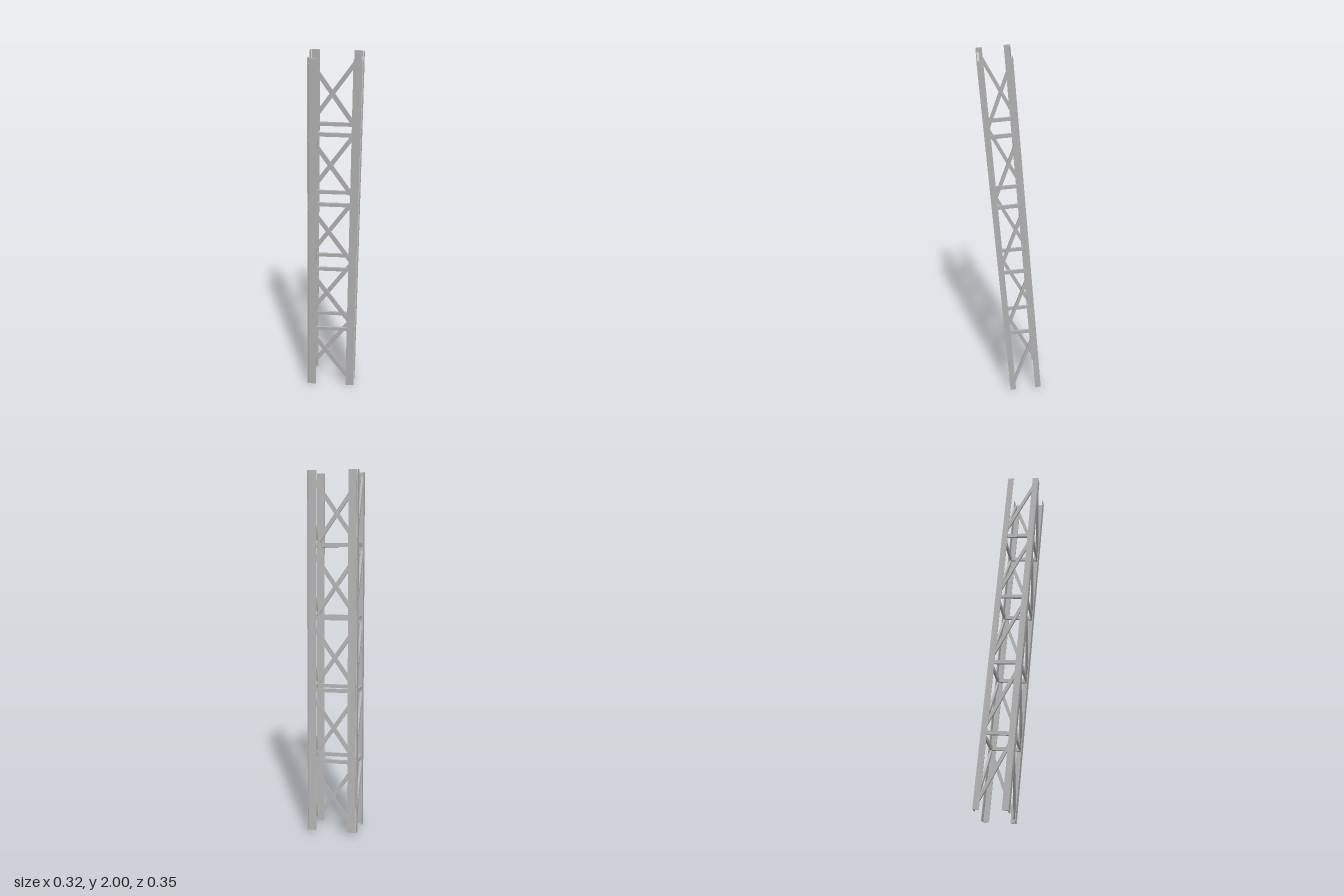
import * as THREE from 'three';

export function createModel() {
  const steel = new THREE.MeshStandardMaterial({ color: 0xb0b0b0 });
  steel.name = 'grey steel';

  const L = 1.984, bays = 5, bay = L / bays; // mast length and panels
  const X = 0.14, Z = 0.09;                  // half width and half depth
  const mast = new THREE.Group();
  mast.name = 'latticeMast';

  const box = (name, w, h, d, x, y, z) => {
    const m = new THREE.Mesh(new THREE.BoxGeometry(w, h, d), steel);
    m.name = name;
    m.position.set(x, y, z);
    mast.add(m);
    return m;
  };

  // Straight bar between two points, flat side kept along the given face
  const bar = (name, a, b, size, side) => {
    const dir = b.clone().sub(a);
    const len = dir.length();
    const m = box(name, side ? 0.012 : size, len, side ? size : 0.012, 0, 0, 0);
    m.position.copy(a).add(b).multiplyScalar(0.5);
    m.quaternion.setFromUnitVectors(new THREE.Vector3(0, 1, 0), dir.normalize());
  };

  // Corner legs: two thin flanges each
  for (const sx of [-1, 1]) {
    for (const sz of [-1, 1]) {
      box('legFaceFlange', 0.045, L, 0.004, sx * 0.1105, 0, sz * (Z - 0.002));
      box('legSideFlange', 0.004, L, 0.033, sx * (X - 0.002), 0, sz * (Z - 0.0165));
    }
  }

  for (const s of [-1, 1]) {
    const fz = s * 0.081, fx = s * 0.13;

    // Horizontal struts between the panels
    for (let k = 1; k < bays; k++) {
      const y = -L / 2 + k * bay;
      box('faceStrut', 0.25, 0.02, 0.012, 0, y, fz);
      box('sideStrut', 0.012, 0.02, 0.155, fx, y, 0);
    }

    // One diagonal per face in each panel, meeting at alternate corners
    for (let k = 0; k < bays; k++) {
      const y = -L / 2 + (k + 0.5) * bay;
      bar('faceDiagonal',
        new THREE.Vector3(s * 0.123, y - 0.176, fz),
        new THREE.Vector3(-s * 0.123, y + 0.176, fz), 0.022, false);
      bar('sideDiagonal',
        new THREE.Vector3(fx, y - 0.168, s * 0.075),
        new THREE.Vector3(fx, y + 0.168, -s * 0.075), 0.018, true);
    }
  }

  // The whole mast leans forward and slightly to its left
  mast.rotation.set(0.0855, 0, -0.0186);
  mast.position.y = 1;

  const model = new THREE.Group();
  model.name = 'leaningMast';
  model.add(mast);
  return model;
}
